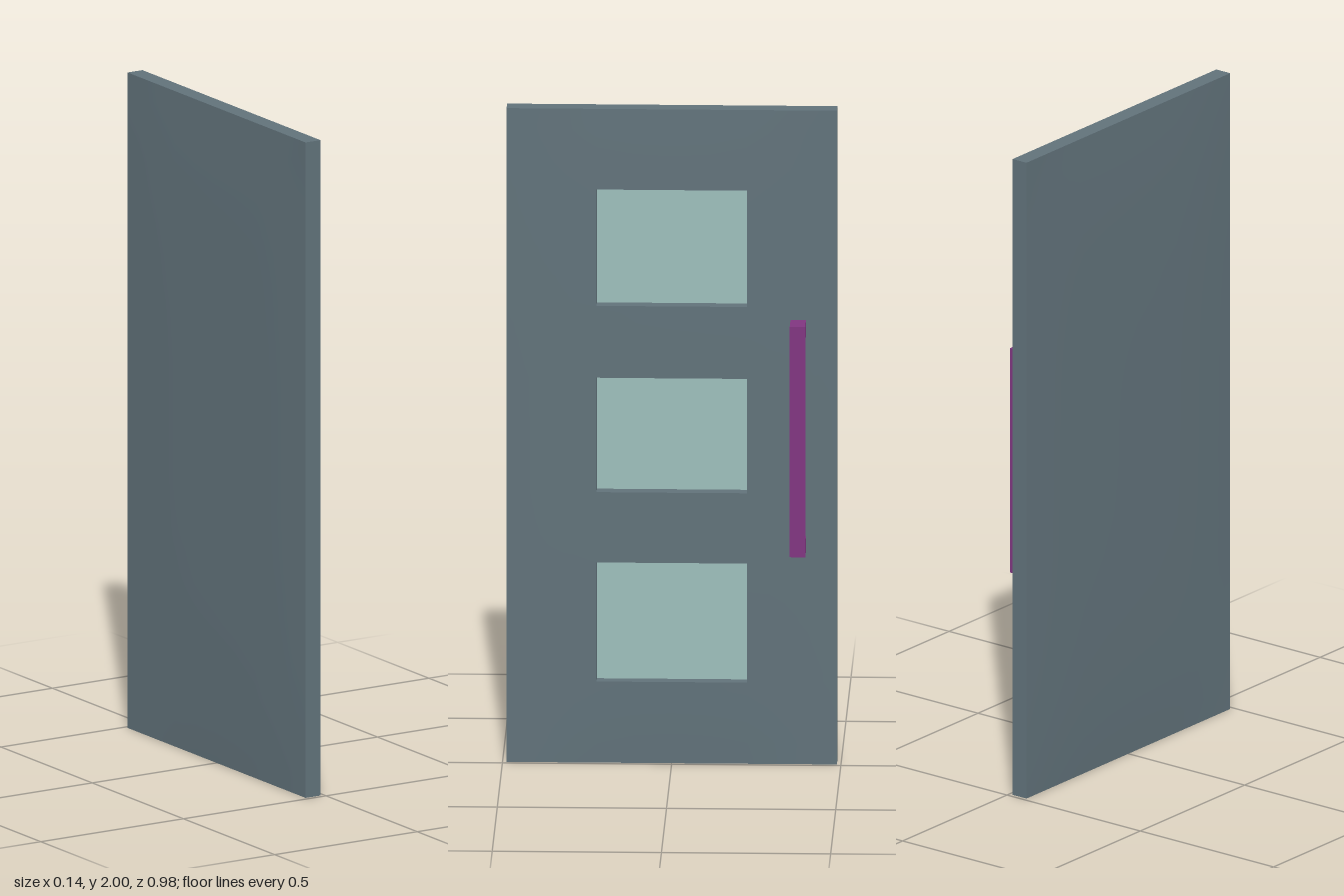
import * as THREE from 'three';
import { mergeGeometries } from 'three/addons/utils/BufferGeometryUtils.js';

const W = 0.488, H = 2;                 // half width along z, height
const MID = -0.038, EDGE = 0.026, BULGE = 0.0105;
const PANE_X = -0.042, PANE_Z = 0.222;
const windows = [[0.25, 0.615], [0.83, 1.18], [1.4, 1.755]];

// Half thickness of the slab: thin at the rim, gently domed in the middle
const half = (z, y) => EDGE + BULGE
  * (1 - Math.abs(z / W) ** 3) * (1 - Math.abs(y - 1) ** 4);

// Splits each interval between stops into n steps
function divide(stops, n) {
  const out = [stops[0]];
  for (let i = 1; i < stops.length; i++)
    for (let k = 1; k <= n; k++) out.push(stops[i - 1] + (stops[i] - stops[i - 1]) * k / n);
  return out;
}

// Grid surface over s and t, leaving out the cells that skip() picks
function patch(point, ss, ts, skip = () => false) {
  const pos = [], index = [];
  for (const t of ts) for (const s of ss) pos.push(...point(s, t));
  const n = ss.length;
  for (let j = 0; j < ts.length - 1; j++) {
    for (let i = 0; i < n - 1; i++) {
      if (skip((ss[i] + ss[i + 1]) / 2, (ts[j] + ts[j + 1]) / 2)) continue;
      const a = j * n + i;
      index.push(a, a + 1, a + n + 1, a, a + n + 1, a + n);
    }
  }
  const g = new THREE.BufferGeometry();
  g.setAttribute('position', new THREE.Float32BufferAttribute(pos, 3));
  g.setIndex(index);
  g.computeVertexNormals();
  return g;
}

// Walls along a loop of [z, y] corners, from depth x0 up to the domed front
function walls(corners, x0) {
  return corners.map(([z0, y0], i) => {
    const [z1, y1] = corners[(i + 1) % corners.length];
    return patch((s, t) => {
      const z = z0 + (z1 - z0) * s, y = y0 + (y1 - y0) * s;
      return [x0 + (MID + half(z, y) - x0) * t, y, z];
    }, divide([0, 1], 4), [0, 1]);
  });
}

export function createModel() {
  const group = new THREE.Group();
  const paint = new THREE.MeshStandardMaterial({ color: 0x61727a });
  const glass = new THREE.MeshStandardMaterial({ color: 0x9dbebb });
  const purple = new THREE.MeshStandardMaterial({ color: 0x803680 });
  const add = (geometry, material, name, parent = group) => {
    const mesh = new THREE.Mesh(geometry, material);
    mesh.name = name;
    parent.add(mesh);
    return mesh;
  };

  // Door slab: domed front with openings, domed back, rim and window reveals
  const zs = divide([-W, -PANE_Z, PANE_Z, W], 4);
  const ys = divide([0, ...windows.flat(), H], 4);
  const inWindow = (s, y) => Math.abs(s) < PANE_Z && windows.some(([a, b]) => y > a && y < b);
  const parts = [
    patch((s, y) => [MID + half(s, y), y, -s], zs, ys, inWindow),
    patch((s, y) => [MID - half(s, y), y, s], zs, ys),
    ...walls([[W, 0], [-W, 0], [-W, H], [W, H]], MID - EDGE),
  ];
  for (const [a, b] of windows)
    parts.push(...walls([[PANE_Z, a], [PANE_Z, b], [-PANE_Z, b], [-PANE_Z, a]], PANE_X));
  add(mergeGeometries(parts), paint, 'doorSlab');

  // Recessed panes
  windows.forEach(([a, b], i) => {
    const pane = add(new THREE.PlaneGeometry(PANE_Z * 2, b - a), glass, 'windowPane' + (i + 1));
    pane.rotation.y = Math.PI / 2;
    pane.position.set(PANE_X, (a + b) / 2, 0);
  });

  // Pull handle: one C-shaped bracket
  const outline = new THREE.Shape([
    [-0.012, 0.655], [0.07, 0.655], [0.07, 1.36], [-0.012, 1.36],
    [-0.012, 1.315], [0.033, 1.315], [0.033, 0.7], [-0.012, 0.7],
  ].map(([x, y]) => new THREE.Vector2(x, y)));
  const handle = add(new THREE.ExtrudeGeometry(outline, { depth: 0.046, bevelEnabled: false }), purple, 'handle');
  handle.position.z = -0.397;

  return group;
}
